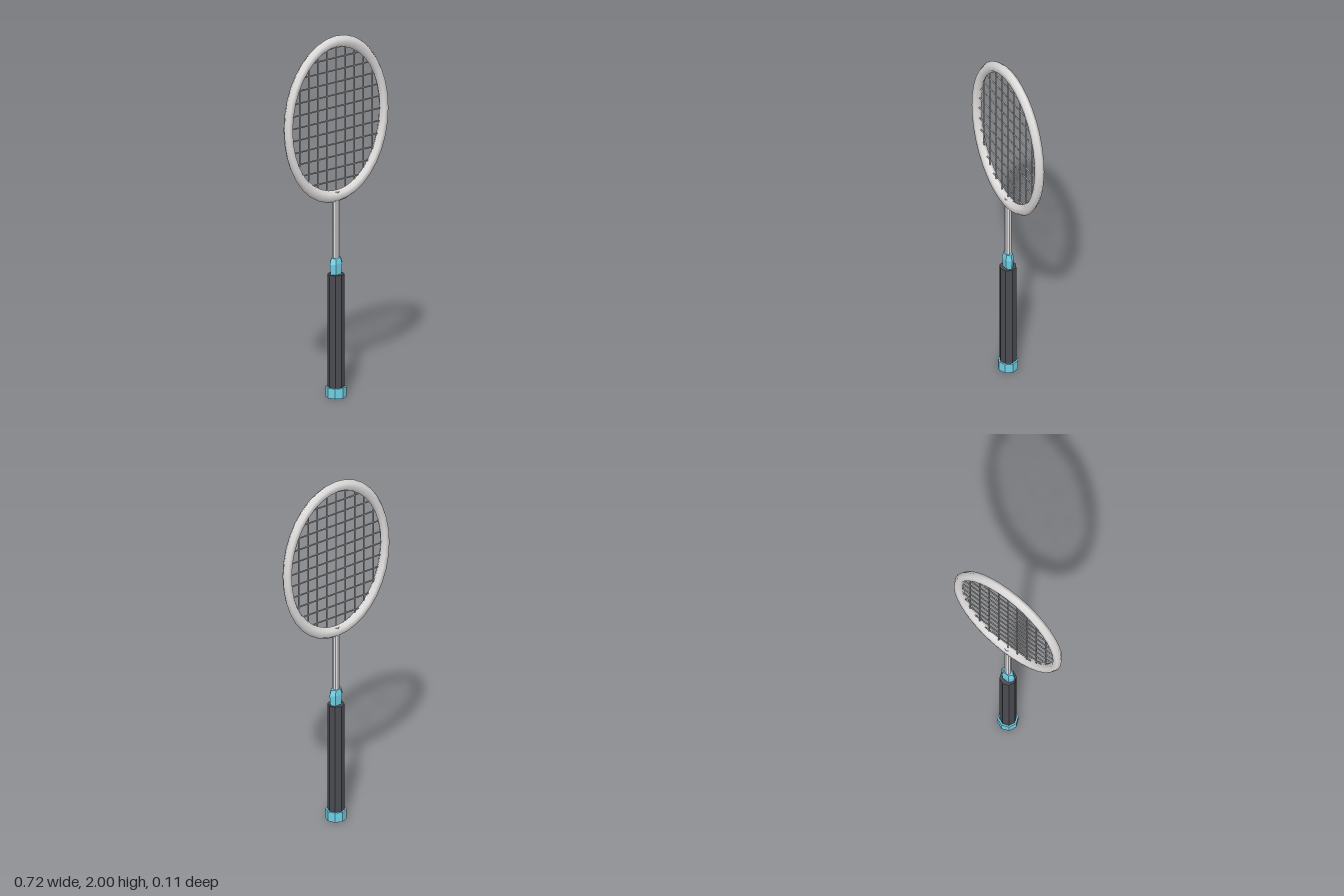
import * as THREE from 'three';

const mat = (name, color, flatShading = false) => {
  const m = new THREE.MeshStandardMaterial({ color, flatShading });
  m.name = name;
  return m;
};

export function createModel() {
  const racket = new THREE.Group();
  racket.name = 'racket';
  const metal = mat('light grey metal', 0xe2dfdf);
  const stringGrey = mat('string grey', 0xb0b0b0);
  const black = mat('grip black', 0x4a4a52, true);
  const teal = mat('teal trim', 0x70d0e7, true);

  const add = (name, geometry, material, y = 0, parent = racket) => {
    const mesh = new THREE.Mesh(geometry, material);
    mesh.name = name;
    mesh.position.y = y;
    parent.add(mesh);
    return mesh;
  };
  // upright faceted cylinder between two heights
  const post = (name, r, y0, y1, material) => {
    const geometry = new THREE.CylinderGeometry(r, r, y1 - y0, 8).toNonIndexed();
    geometry.computeVertexNormals();
    add(name, geometry, material, (y0 + y1) / 2);
  };

  // oval head frame with a six-sided section
  const headY = 1.539;
  const ring = new THREE.TorusGeometry(0.336, 0.026, 6, 36);
  ring.scale(1, 1.274, 1);
  add('headFrame', ring, metal, headY);

  // strings, each clipped to the oval inside the frame
  const strings = new THREE.Group();
  strings.name = 'strings';
  strings.position.y = headY;
  racket.add(strings);
  const rx = 0.307, ry = 0.393, thick = 0.004;
  for (let i = -4; i <= 4; i++) {
    const x = i * 0.064;
    const half = ry * Math.sqrt(1 - (x / rx) ** 2);
    const s = add('mainString', new THREE.CylinderGeometry(thick, thick, 2 * half, 6), stringGrey, 0, strings);
    s.position.x = x;
  }
  for (let i = -5; i <= 5; i++) {
    const y = i * 0.068;
    const half = rx * Math.sqrt(1 - (y / ry) ** 2);
    const s = add('crossString', new THREE.CylinderGeometry(thick, thick, 2 * half, 6), stringGrey, y, strings);
    s.rotation.z = Math.PI / 2;
  }

  // shaft and octagonal handle
  post('shaft', 0.018, 0.7, 1.138, metal);
  post('grip', 0.046, 0.05, 0.68, black);
  post('buttCap', 0.056, 0, 0.056, teal);

  // faceted collar, flattened front to back, widest near its top
  const profile = [[0, 0.675], [0.038, 0.675], [0.044, 0.738], [0.034, 0.77], [0, 0.77]];
  const collar = new THREE.LatheGeometry(profile.map(([r, y]) => new THREE.Vector2(r, y)), 6, Math.PI / 2);
  collar.scale(1, 1, 0.64);
  add('collar', collar, teal);

  return racket;
}
